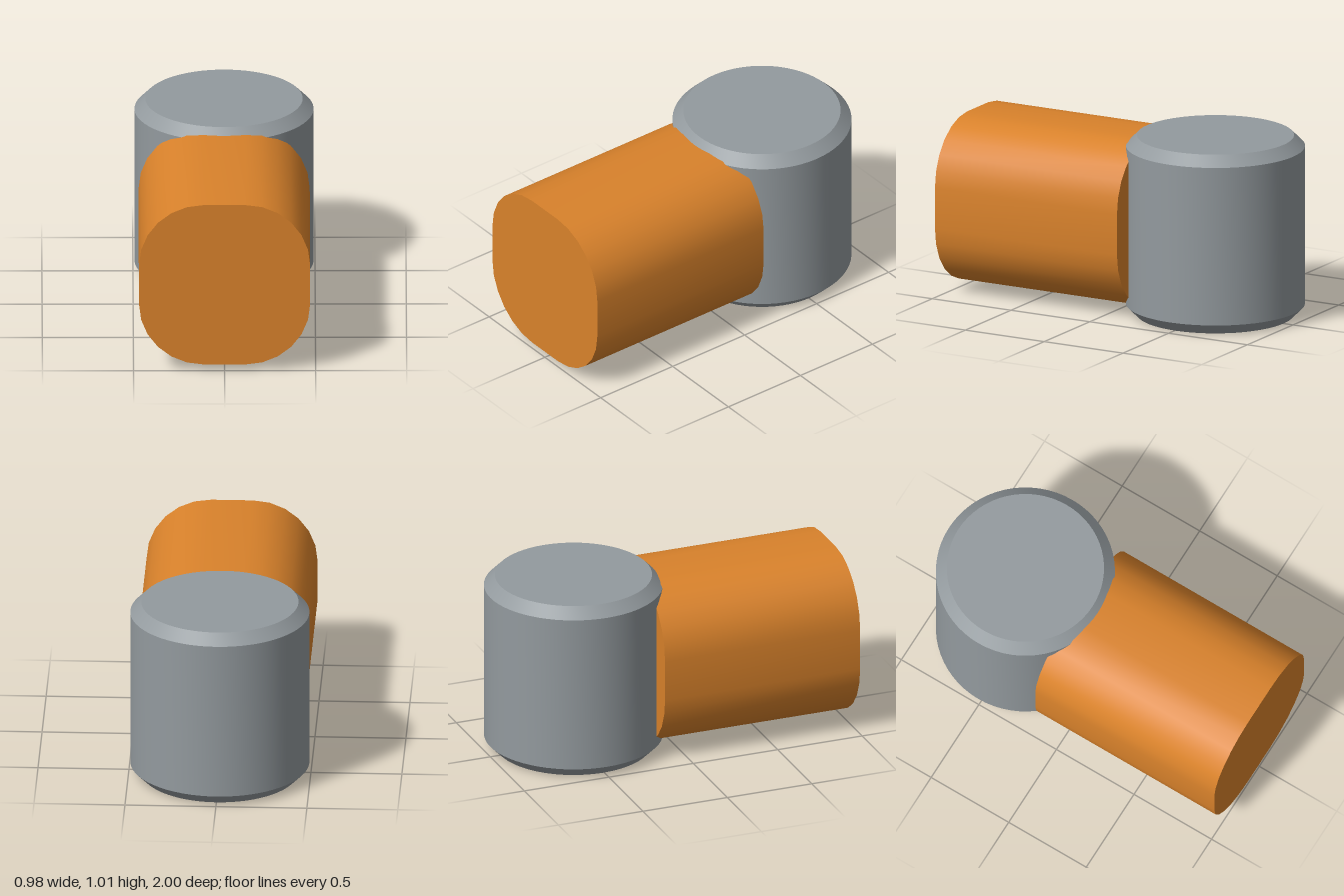
import * as THREE from 'three';
import { toCreasedNormals } from 'three/addons/utils/BufferGeometryUtils.js';

const orange = new THREE.MeshStandardMaterial({ color: 0xd9822b });
orange.name = 'orange';
const grey = new THREE.MeshStandardMaterial({ color: 0x939a9e });
grey.name = 'grey';

// Square outline with large rounded corners, six facets per corner
function roundedSquare(half, radius) {
  const c = half - radius;
  const shape = new THREE.Shape();
  [[1, 1], [-1, 1], [-1, -1], [1, -1]].forEach(([sx, sy], i) => {
    shape.absarc(sx * c, sy * c, radius, i * Math.PI / 2, (i + 1) * Math.PI / 2, false);
  });
  shape.closePath();
  return shape;
}

export function createModel() {
  const model = new THREE.Group();
  model.name = 'model';

  // Upright cylinder with chamfered rims
  const r = 0.492, h = 1.014, chamfer = 0.06;
  const profile = [
    [0, 0], [r - chamfer, 0], [r, chamfer],
    [r, h - chamfer], [r - chamfer, h], [0, h],
  ].map(([x, y]) => new THREE.Vector2(x, y));
  const cylinder = new THREE.Mesh(toCreasedNormals(new THREE.LatheGeometry(profile, 64), 0.5), grey);
  cylinder.name = 'chamferedCylinder';
  cylinder.position.z = -0.508;
  model.add(cylinder);

  // Horizontal bar running forward from the cylinder
  const backZ = -0.155;
  const barGeometry = new THREE.ExtrudeGeometry(roundedSquare(0.47, 0.355), {
    depth: 1 - backZ, bevelEnabled: false, curveSegments: 3,
  });
  const bar = new THREE.Mesh(toCreasedNormals(barGeometry, 0.5), orange);
  bar.name = 'roundedBar';
  bar.position.set(0, h / 2, backZ);
  model.add(bar);

  return model;
}
